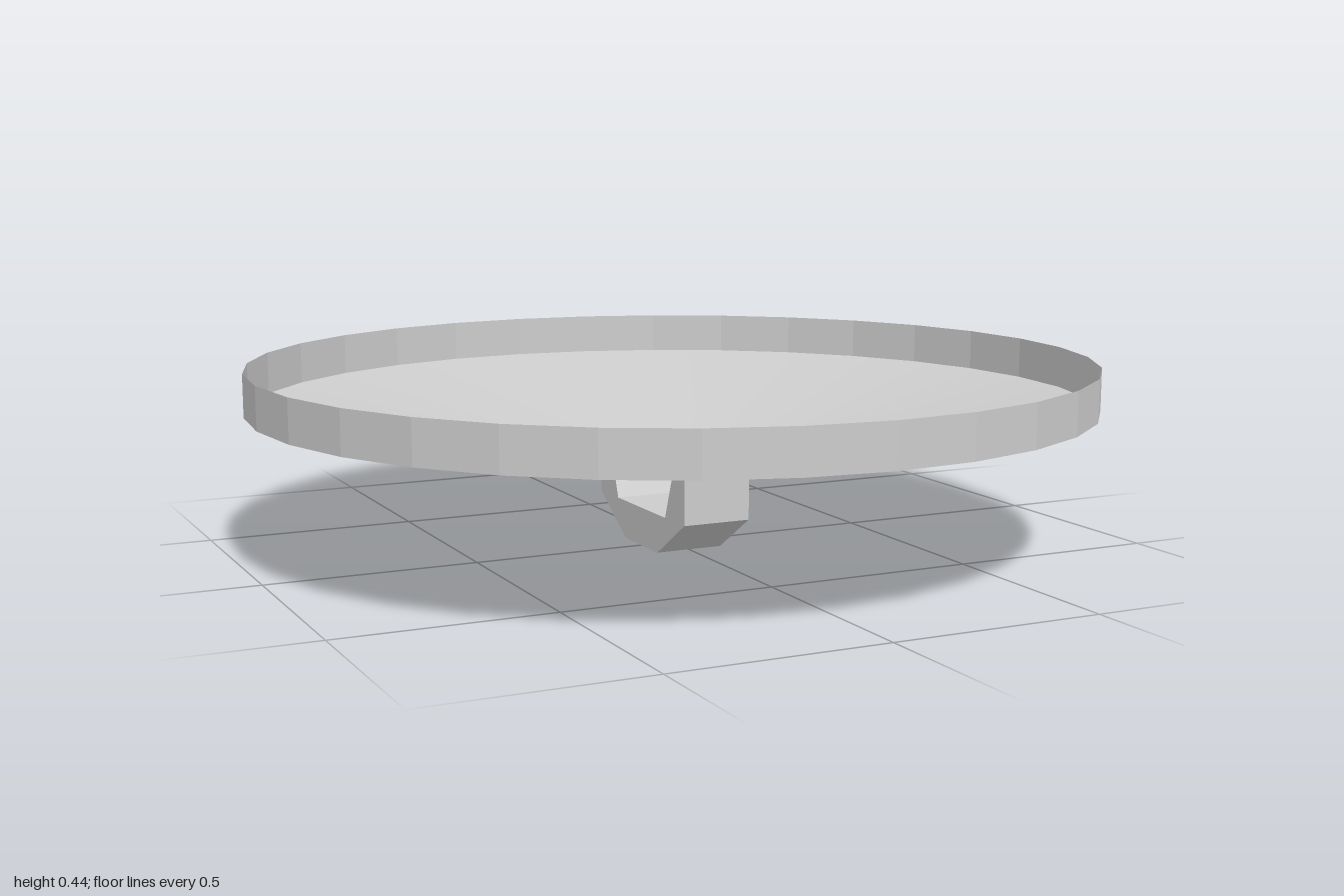
import * as THREE from 'three';

const SIDES = 32;

export function createModel() {
  const group = new THREE.Group();
  const thin = (flatShading) => new THREE.MeshStandardMaterial({ color: 0xcccccc, flatShading, side: THREE.DoubleSide });
  const add = (name, geometry, material) => {
    const mesh = new THREE.Mesh(geometry, material);
    mesh.name = name;
    group.add(mesh);
  };

  // Shallow conical dish, a thin open shell
  const dish = new THREE.LatheGeometry([new THREE.Vector2(0, 0.16), new THREE.Vector2(1, 0.342)], SIDES);
  add('dish', dish, thin(false));

  // Upright faceted rim band
  const rim = new THREE.CylinderGeometry(1, 1, 0.1, SIDES, 1, true).translate(0, 0.392, 0);
  add('rim', rim, thin(true));

  // Angular handle below, its tips just poking through the dish
  const half = [[0.09, 0], [0.235, 0.092], [0.235, 0.206], [0.175, 0.206], [0.133, 0.092]];
  const outline = [...half, ...half.map(([z, y]) => [-z, y]).reverse()];
  const shape = new THREE.Shape(outline.map(([z, y]) => new THREE.Vector2(z, y)));
  const width = 0.166;
  const handle = new THREE.ExtrudeGeometry(shape, { depth: width, bevelEnabled: false })
    .translate(0, 0, -width / 2)
    .rotateY(-Math.PI / 2);
  add('handle', handle, new THREE.MeshStandardMaterial({ color: 0xcccccc, flatShading: true }));

  return group;
}
